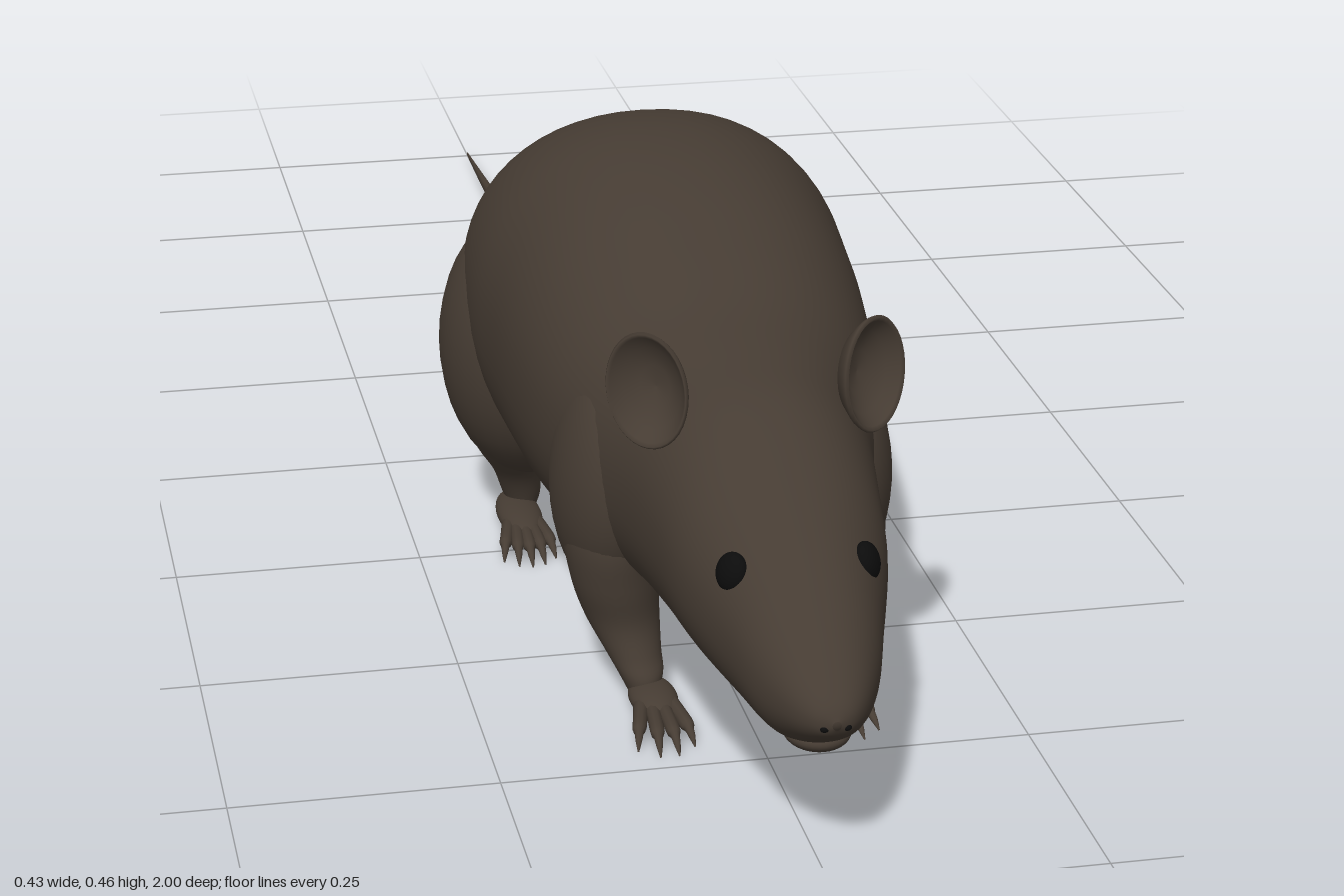
import * as THREE from 'three';

const fur = new THREE.MeshStandardMaterial({ color: 0x463c33 });
fur.name = 'dark brown fur';
const black = new THREE.MeshStandardMaterial({ color: 0x0c0c0c });
black.name = 'glossy black';

// Smoothly interpolates every column of a table of section rows
function sample(rows, t) {
  const f = t * (rows.length - 1);
  const i = Math.min(Math.floor(f), rows.length - 2);
  const u = f - i;
  const row = (k) => rows[Math.max(0, Math.min(rows.length - 1, k))];
  return rows[i].map((b, k) => {
    const a = row(i - 1)[k], c = row(i + 1)[k], d = row(i + 2)[k];
    return b + 0.5 * u * (c - a + u * (2 * a - 5 * b + 4 * c - d + u * (3 * (b - c) + d - a)));
  });
}

// Skins rings of points; ringPoint maps (row, cos, sin) to [x, y, z]
function loft(rows, perRow, sides, ringPoint) {
  const steps = (rows.length - 1) * perRow;
  const pos = [], idx = [];
  for (let i = 0; i <= steps; i++) {
    const row = sample(rows, i / steps);
    for (let j = 0; j < sides; j++) {
      const a = (j / sides) * Math.PI * 2;
      pos.push(...ringPoint(row, Math.cos(a), Math.sin(a)));
      if (i === steps) continue;
      const n = (j + 1) % sides;
      const p = i * sides + j, q = i * sides + n;
      idx.push(p, p + sides, q, p + sides, q + sides, q);
    }
  }
  const g = new THREE.BufferGeometry();
  g.setAttribute('position', new THREE.Float32BufferAttribute(pos, 3));
  g.setIndex(idx);
  g.computeVertexNormals();
  return g;
}

function add(parent, name, geometry, material = fur) {
  const m = new THREE.Mesh(geometry, material);
  m.name = name;
  parent.add(m);
  return m;
}

function ellipsoid(parent, name, center, radii, material = fur) {
  const m = add(parent, name, new THREE.SphereGeometry(1, 32, 20), material);
  m.position.set(...center);
  m.scale.set(...radii);
  return m;
}

// z, half width, bottom, top: from nose to rump
const bodyRows = [
  [1.0, 0.004, 0.158, 0.166], [0.992, 0.02, 0.147, 0.18], [0.97, 0.037, 0.132, 0.2],
  [0.93, 0.056, 0.114, 0.231], [0.88, 0.072, 0.112, 0.266], [0.8, 0.096, 0.112, 0.31],
  [0.72, 0.109, 0.108, 0.347], [0.64, 0.124, 0.104, 0.363], [0.56, 0.148, 0.097, 0.38],
  [0.48, 0.168, 0.082, 0.41], [0.4, 0.18, 0.072, 0.438], [0.32, 0.187, 0.07, 0.455],
  [0.24, 0.193, 0.08, 0.458], [0.16, 0.188, 0.1, 0.443], [0.1, 0.17, 0.109, 0.41],
  [0.05, 0.138, 0.111, 0.356], [0.0, 0.088, 0.111, 0.275], [-0.04, 0.058, 0.106, 0.212],
  [-0.1, 0.037, 0.09, 0.158], [-0.2, 0.022, 0.066, 0.117], [-0.4, 0.013, 0.038, 0.074],
  [-0.6, 0.009, 0.019, 0.044], [-0.8, 0.006, 0.009, 0.024], [-1.0, 0.001, 0.004, 0.008],
];
const soften = (v) => Math.sign(v) * Math.abs(v) ** 0.92;
const bodyPoint = ([z, w, lo, hi], c, s) =>
  [w * soften(c), (lo + hi) / 2 + ((hi - lo) / 2) * soften(s), z];

// y, centre x, centre z, radius x, radius z: from the top down
const frontLegRows = [
  [0.24, 0.105, 0.545, 0.035, 0.05], [0.17, 0.112, 0.555, 0.044, 0.064],
  [0.12, 0.109, 0.565, 0.042, 0.052], [0.08, 0.102, 0.568, 0.036, 0.044],
  [0.05, 0.095, 0.588, 0.027, 0.032], [0.03, 0.09, 0.603, 0.021, 0.027],
  [0.008, 0.09, 0.615, 0.01, 0.014],
];
const hindLegRows = [
  [0.22, 0.14, 0.18, 0.05, 0.07], [0.15, 0.15, 0.178, 0.045, 0.07],
  [0.1, 0.145, 0.175, 0.037, 0.054], [0.06, 0.134, 0.162, 0.025, 0.036],
  [0.03, 0.128, 0.155, 0.02, 0.029], [0.008, 0.128, 0.16, 0.011, 0.018],
];

function addLeg(root, name, rows, side, footX, footZ, footLength, toes) {
  const leg = new THREE.Group();
  leg.name = name;
  root.add(leg);
  add(leg, 'lowerLeg', loft(rows, 5, 28, ([y, cx, cz, rx, rz], c, s) =>
    [side * cx + rx * c, y, cz - rz * s]));
  ellipsoid(leg, 'paw', [side * footX, 0.017, footZ], [0.023, 0.013, footLength]);
  // Fanned toes, each tapering into a curved claw
  for (let k = 0; k < toes; k++) {
    const fan = k / (toes - 1) - 0.5;
    const start = footZ + footLength * 0.35;
    const reach = 0.088 - 0.07 * fan * fan;
    const x0 = side * footX + fan * 0.028;
    const spread = fan * 0.026 + side * 0.004;
    const toeRows = [
      [1, 0.004, 0.0006], [0.86, 0.011, 0.0032], [0.74, 0.015, 0.0045],
      [0.66, 0.016, 0.0068], [0.4, 0.017, 0.007], [0, 0.016, 0.008],
    ];
    add(leg, 'toe', loft(toeRows, 3, 10, ([t, y, r], c, s) =>
      [x0 + spread * t + r * c, y + r * s, start + reach * t]));
  }
}

export function createModel() {
  const root = new THREE.Group();
  root.name = 'rodent';

  add(root, 'bodyHeadAndTail', loft(bodyRows, 5, 56, bodyPoint));
  ellipsoid(root, 'nose', [0, 0.164, 0.983], [0.019, 0.014, 0.016]);
  ellipsoid(root, 'chin', [0, 0.124, 0.93], [0.03, 0.014, 0.034]);

  // Ear bowl: back surface, rounded rim, hollow inside
  const earProfile = [
    [0, -0.02], [0.02, -0.018], [0.038, -0.008], [0.048, 0.005], [0.05, 0.01],
    [0.048, 0.013], [0.045, 0.01], [0.035, -0.001], [0.018, -0.01], [0, -0.012],
  ].map(([r, y]) => new THREE.Vector2(r, y));
  const earGeometry = new THREE.LatheGeometry(earProfile, 36).rotateX(Math.PI / 2);

  for (const side of [1, -1]) {
    const label = side > 0 ? 'left' : 'right';

    const ear = add(root, label + 'Ear', earGeometry);
    ear.position.set(side * 0.1, 0.358, 0.695);
    ear.rotation.set(-0.15, side * 0.6, -side * 0.22, 'YXZ');
    ear.scale.set(0.8, 1.08, 1);

    const eye = ellipsoid(root, label + 'Eye', [side * 0.061, 0.247, 0.858], [0.011, 0.018, 0.017], black);
    eye.rotation.set(0, -side * 0.5, side * 0.3);

    ellipsoid(root, label + 'Nostril', [side * 0.01, 0.158, 0.996], [0.004, 0.003, 0.003], black);

    // Muscle masses over the limbs
    const shoulder = ellipsoid(root, label + 'Shoulder', [side * 0.108, 0.21, 0.54], [0.056, 0.115, 0.09]);
    shoulder.rotation.z = side * 0.06;
    ellipsoid(root, label + 'Thigh', [side * 0.125, 0.205, 0.175], [0.089, 0.14, 0.112]);

    addLeg(root, label + 'FrontLeg', frontLegRows, side, 0.084, 0.632, 0.04, 4);
    addLeg(root, label + 'HindLeg', hindLegRows, side, 0.136, 0.19, 0.058, 5);
  }
  return root;
}
